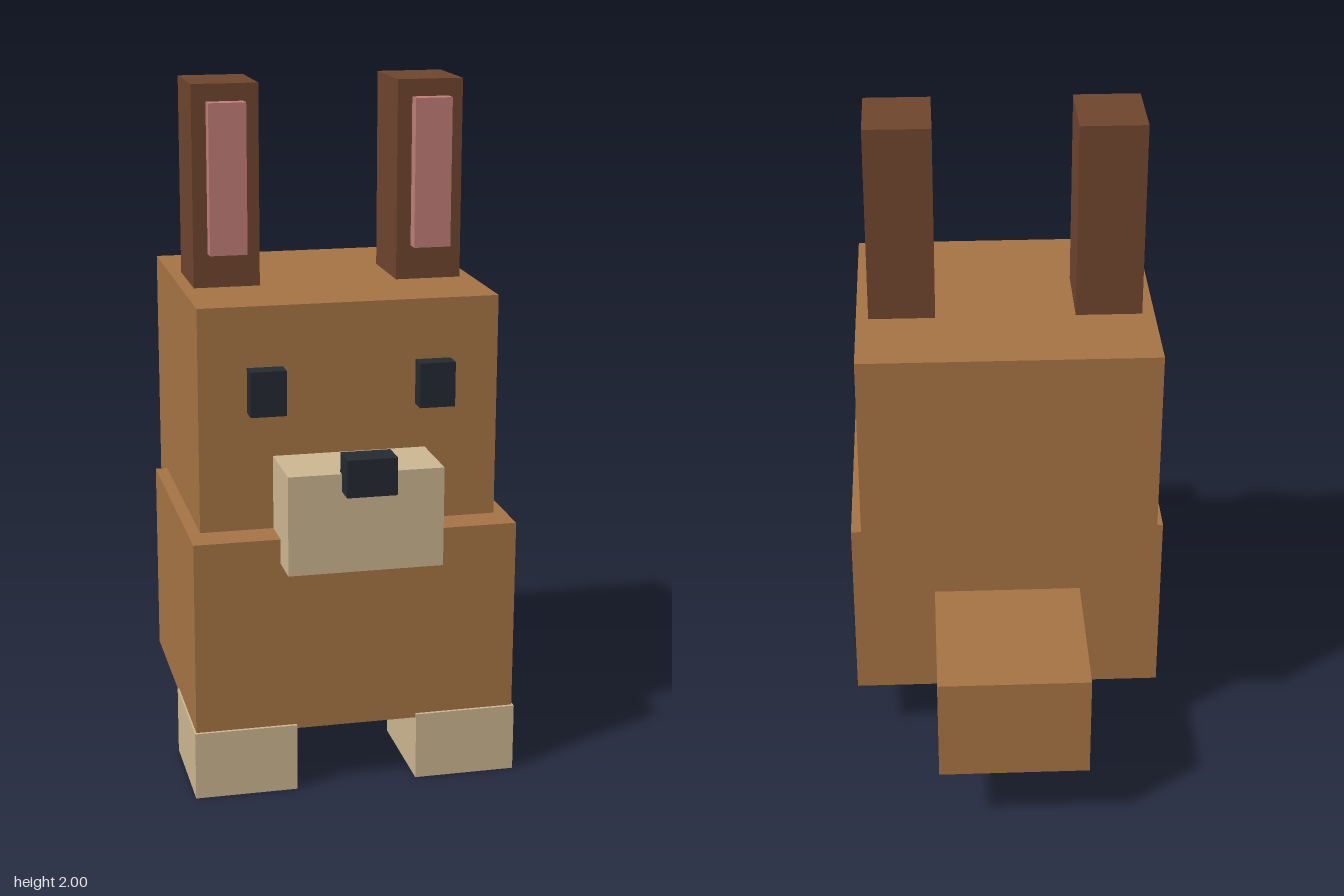
import * as THREE from 'three';

const material = (color) => new THREE.MeshStandardMaterial({ color, flatShading: true });

export function createModel() {
  const model = new THREE.Group();
  model.name = 'blockRabbit';

  const fur = material(0xa87545);
  const darkFur = material(0x71462f);
  const pink = material(0xc47f79);
  const cream = material(0xcfb993);
  const black = material(0x252b33);

  // Box given by its extents along each axis
  function block(name, mat, [x0, x1], [y0, y1], [z0, z1]) {
    const mesh = new THREE.Mesh(new THREE.BoxGeometry(x1 - x0, y1 - y0, z1 - z0), mat);
    mesh.position.set((x0 + x1) / 2, (y0 + y1) / 2, (z0 + z1) / 2);
    mesh.name = name;
    model.add(mesh);
  }

  // Mirrored pair of boxes
  function pair(name, mat, [x0, x1], y, z) {
    block('left' + name, mat, [x0, x1], y, z);
    block('right' + name, mat, [-x1, -x0], y, z);
  }

  // Torso, head and tail
  block('body', fur, [-0.47, 0.47], [0.187, 0.765], [-0.227, 0.524]);
  block('head', fur, [-0.434, 0.434], [0.72, 1.415], [-0.365, 0.42]);
  block('tail', fur, [-0.222, 0.222], [0.215, 0.54], [-0.697, -0.227]);

  // Face
  block('muzzle', cream, [-0.222, 0.222], [0.693, 0.98], [0.42, 0.632]);
  block('nose', black, [-0.071, 0.071], [0.93, 1.037], [0.612, 0.697]);
  pair('Eye', black, [0.192, 0.295], [1.11, 1.24], [0.42, 0.475]);

  // Ears with pink inner panels
  pair('Ear', darkFur, [0.204, 0.398], [1.415, 2], [-0.096, 0.145]);
  pair('InnerEar', pink, [0.247, 0.356], [1.515, 1.95], [0.145, 0.188]);

  // Feet
  pair('Foot', cream, [0.177, 0.475], [0, 0.2], [0.197, 0.533]);

  return model;
}
